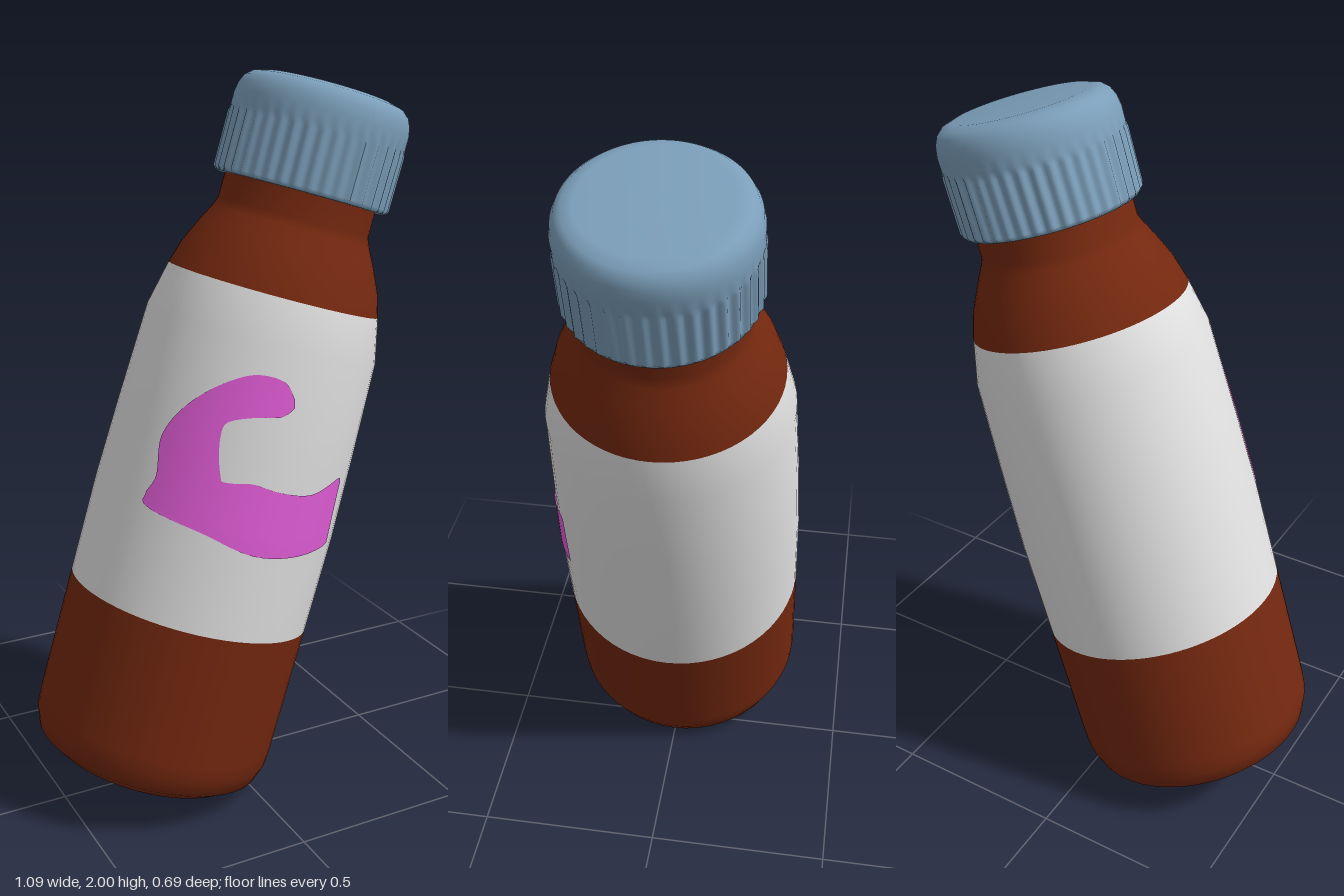
import * as THREE from 'three';

const mat = (name, color, side = THREE.FrontSide) => {
  const m = new THREE.MeshStandardMaterial({ color, side });
  m.name = name;
  return m;
};

// Bottle profile sections as [radius, height along the axis]
const LOWER = [[0, 0], [0.25, 0], [0.285, 0.009], [0.327, 0.038], [0.343, 0.085], [0.345, 0.13], [0.345, 0.5]];
const LABEL = [[0.345, 0.5], [0.345, 0.78], [0.338, 1.0], [0.326, 1.28], [0.298, 1.403]];
const SHOULDER = [[0.298, 1.403], [0.277, 1.47], [0.246, 1.535], [0.222, 1.58], [0.212, 1.605], [0.211, 1.69]];
// Cap profile, from the underside to the centre of the top
const CAP = [[0.2, 1.673], [0.238, 1.673], [0.242, 1.685], [0.242, 1.83], [0.243, 1.85], [0.243, 1.885],
  [0.238, 1.912], [0.228, 1.933], [0.212, 1.947], [0.182, 1.956], [0, 1.957]];

const TILT = 17 * Math.PI / 180;
const BASE = new THREE.Vector3(-0.245, 0.075, 0);

const lathe = (profile, segments) =>
  new THREE.LatheGeometry(profile.map(([r, y]) => new THREE.Vector2(r, y)), segments);

function labelRadius(y) {
  for (let i = 1; i < LABEL.length; i++) {
    const [r0, y0] = LABEL[i - 1], [r1, y1] = LABEL[i];
    if (y <= y1) return r0 + (r1 - r0) * (y - y0) / (y1 - y0);
  }
  return LABEL[LABEL.length - 1][0];
}

// Cap with shallow vertical ribs around its side
function capGeometry() {
  const ribs = 40;
  const geo = lathe(CAP, ribs * 6);
  const p = geo.attributes.position;
  for (let i = 0; i < p.count; i++) {
    const y = p.getY(i);
    if (y < 1.68 || y > 1.84) continue;
    const a = Math.atan2(p.getX(i), p.getZ(i));
    const k = 1 + 0.018 * Math.cos(ribs * a);
    p.setX(i, p.getX(i) * k);
    p.setZ(i, p.getZ(i) * k);
  }
  geo.computeVertexNormals();
  return geo;
}

// Hooked patch: a ribbon between two edge curves, wrapped onto the label
function patchGeometry() {
  const curve = (pts) => new THREE.SplineCurve(pts.map(([x, y]) => new THREE.Vector2(x, y)));
  const outer = curve([[0.045, 1.205], [0.02, 1.25], [-0.05, 1.27], [-0.13, 1.24], [-0.2, 1.18], [-0.25, 1.1],
    [-0.275, 1.0], [-0.3, 0.95], [-0.3, 0.915], [-0.2, 0.865], [-0.085, 0.8], [0.04, 0.77], [0.17, 0.76], [0.185, 0.772]]);
  const inner = curve([[0.045, 1.18], [0.01, 1.16], [-0.06, 1.162], [-0.12, 1.15], [-0.14, 1.11], [-0.148, 1.05],
    [-0.148, 1.01], [-0.145, 1.0], [-0.12, 0.995], [-0.07, 0.99], [0.0, 0.96], [0.1, 0.935], [0.205, 0.95], [0.22, 0.935]]);
  const geo = new THREE.PlaneGeometry(1, 1, 104, 12);
  const p = geo.attributes.position;
  const s = Math.sin(TILT), c = Math.cos(TILT);
  for (let i = 0; i < p.count; i++) {
    const u = p.getX(i) + 0.5, v = p.getY(i) + 0.5;
    const q = outer.getPoint(u).lerp(inner.getPoint(u), v);
    const dx = q.x - BASE.x, dy = q.y - BASE.y;
    const x = dx * c - dy * s, y = dx * s + dy * c;
    const r = labelRadius(y) + 0.003;
    p.setXYZ(i, x, y, Math.sqrt(Math.max(0, r * r - x * x)));
  }
  geo.computeVertexNormals();
  return geo;
}

export function createModel() {
  const brown = mat('brown glass', 0x74280f);
  const white = mat('label white', 0xe2e2e2);
  const pink = mat('magenta print', 0xe65fdb, THREE.DoubleSide);
  const blue = mat('cap blue', 0x7c9fba);

  const bottle = new THREE.Group();
  bottle.name = 'bottle';
  const add = (name, geo, material) => {
    const mesh = new THREE.Mesh(geo, material);
    mesh.name = name;
    bottle.add(mesh);
  };
  add('lowerBody', lathe(LOWER, 64), brown);
  add('label', lathe(LABEL, 64), white);
  add('shoulderAndNeck', lathe(SHOULDER, 64), brown);
  add('labelPatch', patchGeometry(), pink);
  add('cap', capGeometry(), blue);

  // The whole bottle leans to its left
  bottle.rotation.z = -TILT;
  bottle.position.copy(BASE);

  const model = new THREE.Group();
  model.name = 'leaningBottle';
  model.add(bottle);
  return model;
}
